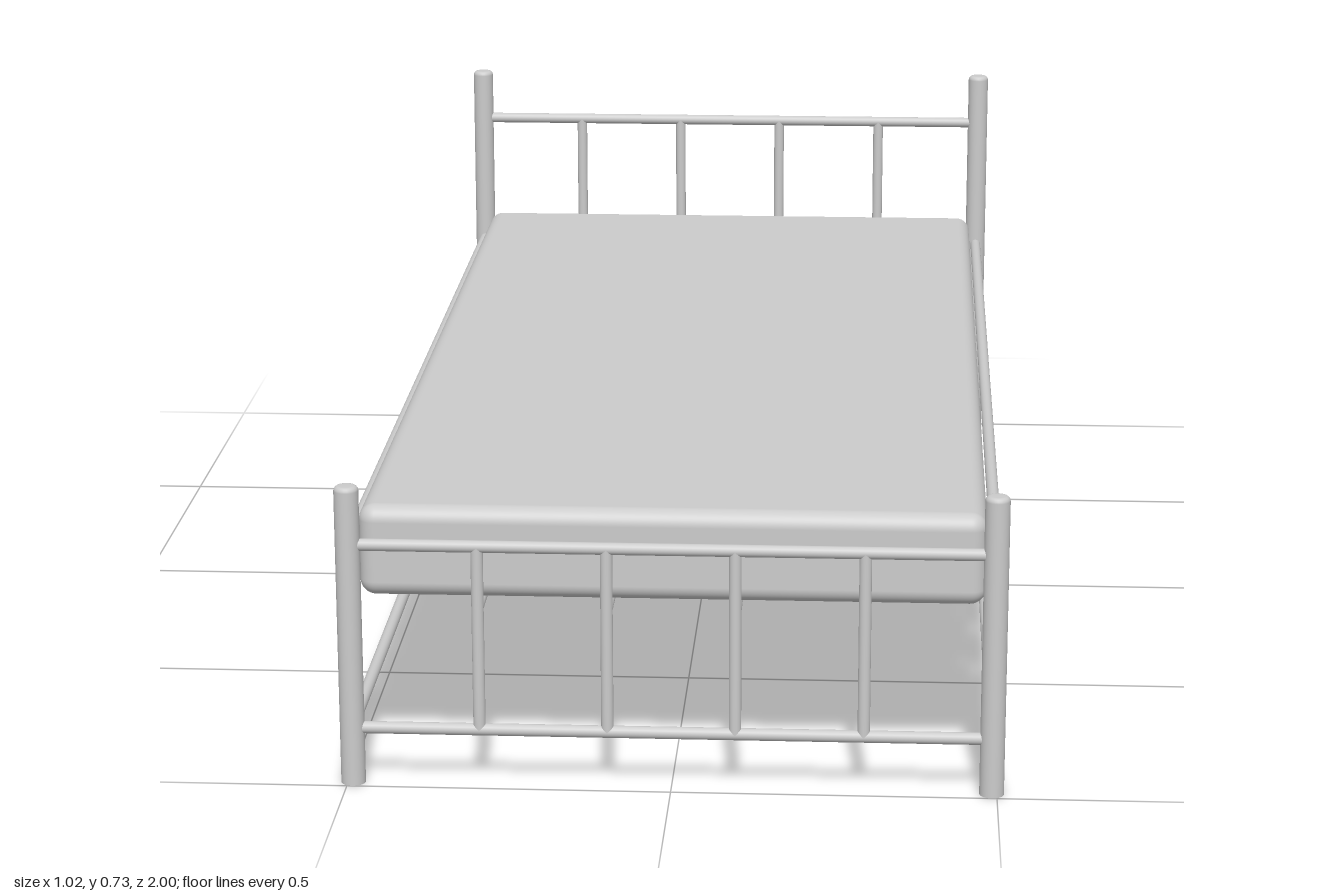
import * as THREE from 'three';
import { RoundedBoxGeometry } from 'three/addons/geometries/RoundedBoxGeometry.js';

const material = new THREE.MeshStandardMaterial({ color: 0xcccccc });
const X = 0.492, Z = 0.981;            // post centres
const POST_R = 0.019, ROD_R = 0.0095;
const LOW = 0.09, MID = 0.386, HIGH = 0.63; // rail heights
const barXs = [-0.295, -0.098, 0.098, 0.295];

export function createModel() {
  const bed = new THREE.Group();
  bed.name = 'bed';

  const add = (name, geometry, parent = bed) => {
    const mesh = new THREE.Mesh(geometry, material);
    mesh.name = name;
    parent.add(mesh);
    return mesh;
  };

  // Round rod between two points
  const rod = (name, from, to, parent) => {
    const a = new THREE.Vector3(...from), b = new THREE.Vector3(...to);
    const dir = b.clone().sub(a);
    const mesh = add(name, new THREE.CylinderGeometry(ROD_R, ROD_R, dir.length(), 20), parent);
    mesh.position.copy(a).add(b).multiplyScalar(0.5);
    mesh.quaternion.setFromUnitVectors(new THREE.Vector3(0, 1, 0), dir.normalize());
  };

  // Upright post with a softly rounded top
  const post = (name, x, z, height, parent) => {
    const e = 0.008;
    const profile = [[0, 0], [POST_R, 0], [POST_R, 0], [POST_R, height - e]];
    for (let i = 1; i <= 4; i++) {
      const t = (i / 4) * Math.PI / 2;
      profile.push([POST_R - e + e * Math.cos(t), height - e + e * Math.sin(t)]);
    }
    profile.push([0, height]);
    const geometry = new THREE.LatheGeometry(profile.map(p => new THREE.Vector2(...p)), 28);
    add(name, geometry, parent).position.set(x, 0, z);
  };

  // End frames: two posts, two rails and four upright bars
  const endFrame = (name, z, postHeight, railY) => {
    const frame = new THREE.Group();
    frame.name = name;
    bed.add(frame);
    post('leftPost', X, z, postHeight, frame);
    post('rightPost', -X, z, postHeight, frame);
    rod('topRail', [-X, railY, z], [X, railY, z], frame);
    rod('bottomRail', [-X, LOW, z], [X, LOW, z], frame);
    for (const x of barXs) rod('uprightBar', [x, LOW, z], [x, railY, z], frame);
  };
  endFrame('footboard', Z, 0.48, MID);
  endFrame('headboard', -Z, 0.725, HIGH);

  // Side rails
  for (const x of [-X, X]) {
    const side = x > 0 ? 'left' : 'right';
    rod(side + 'UpperRail', [x, MID, -Z], [x, MID, Z]);
    rod(side + 'LowerRail', [x, LOW, -Z], [x, LOW, Z]);
  }

  // Lengthwise support rods beneath the mattress
  for (const x of barXs) rod('supportRod', [x, 0.289, -Z], [x, 0.289, Z]);

  // Mattress
  add('mattress', new RoundedBoxGeometry(0.956, 0.145, 1.942, 6, 0.025))
    .position.y = 0.3695;

  return bed;
}
